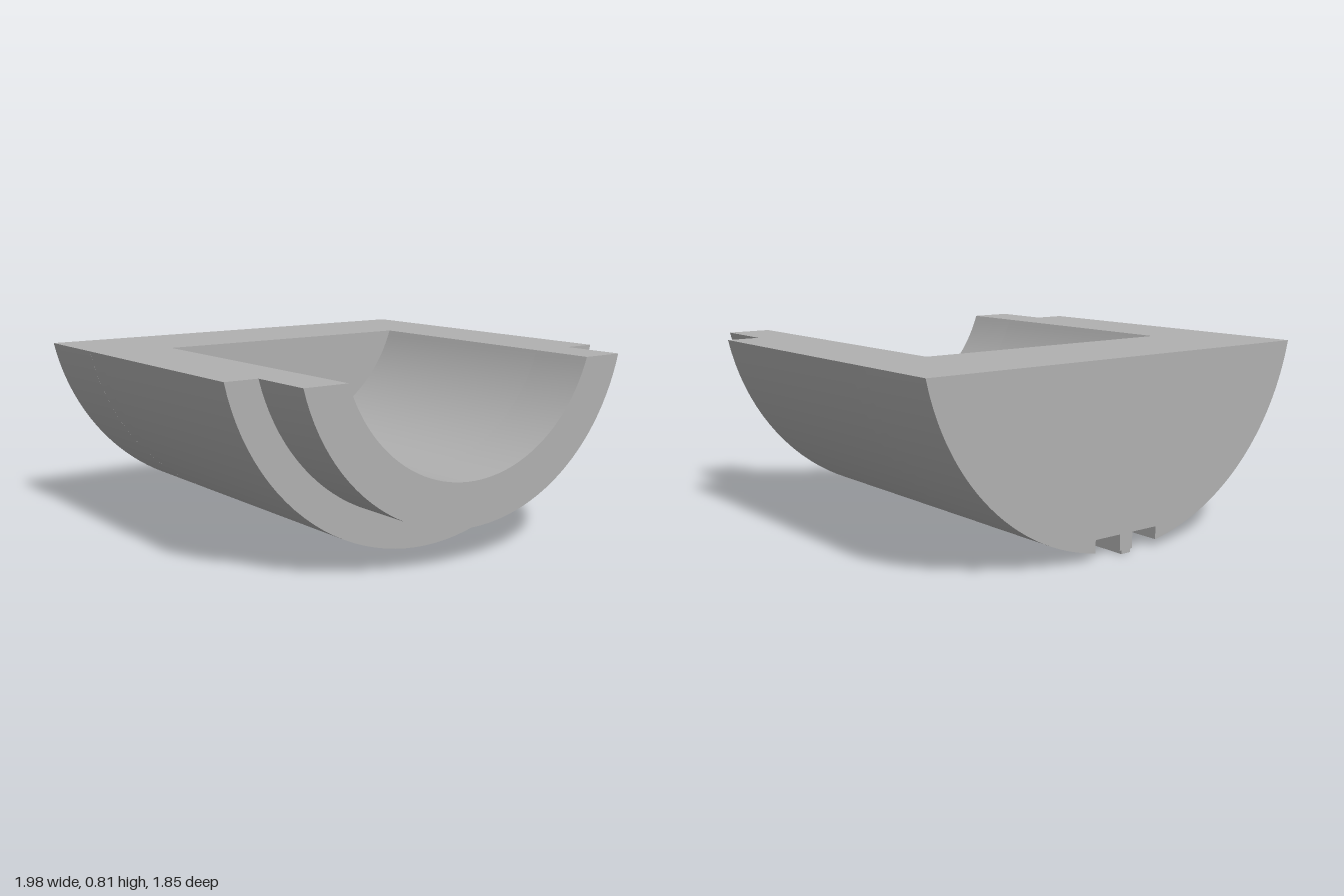
import * as THREE from 'three';
import { toCreasedNormals } from 'three/addons/utils/BufferGeometryUtils.js';

const AXIS_Y = 1.03; // shared axis height of all the arcs
const TOP = 0.81; // flat top face
const OUTER = 1.015, SPIGOT = 0.868, BORE = 0.675;

// Angle at which an arc of radius r meets the flat top, left side
const startAngle = (r) => Math.PI + Math.asin((AXIS_Y - TOP) / r);
// Angle of the point of the outer arc lying at x
const angleAt = (x, r) => 1.5 * Math.PI + Math.asin(x / r);

// Segment of a disc below the top; optional bore radius and underside slots
function profile(r, bore = 0, slots = []) {
  const s = new THREE.Shape();
  let a = startAngle(r);
  s.moveTo(r * Math.cos(a), TOP);
  for (const [x0, x1, roof] of slots) {
    s.absarc(0, AXIS_Y, r, a, angleAt(x0, r), false);
    s.lineTo(x0, roof);
    s.lineTo(x1, roof);
    a = angleAt(x1, r);
  }
  s.absarc(0, AXIS_Y, r, a, 3 * Math.PI - startAngle(r), false);
  if (bore) {
    const b = startAngle(bore);
    s.absarc(0, AXIS_Y, bore, 3 * Math.PI - b, b, true);
  }
  s.closePath();
  return s;
}

export function createModel() {
  const group = new THREE.Group();
  const grey = new THREE.MeshStandardMaterial({ color: 0xb0b0b0 });
  grey.name = 'plain grey';

  function slab(name, shape, z0, z1) {
    const geo = new THREE.ExtrudeGeometry(shape, {
      depth: z1 - z0, bevelEnabled: false, curveSegments: 24,
    });
    geo.translate(0, 0, z0);
    const mesh = new THREE.Mesh(toCreasedNormals(geo, 0.5), grey);
    mesh.name = name;
    group.add(mesh);
  }

  // Closed rear end with two short slots under its back edge
  const slots = [[-0.17, -0.035, 0.085], [0.035, 0.17, 0.085]];
  slab('slottedRearBlock', profile(OUTER, 0, slots), -0.92, -0.52);
  slab('rearWall', profile(OUTER), -0.52, -0.42);
  // Hollow body and the narrower lip at the open front
  slab('hollowBody', profile(OUTER, BORE), -0.42, 0.63);
  slab('frontLip', profile(SPIGOT, BORE), 0.63, 0.925);

  // Thin rib between the slots
  const rib = new THREE.Mesh(new THREE.BoxGeometry(0.05, 0.04, 0.4), grey);
  rib.position.set(0, 0.02, -0.72);
  rib.name = 'slotRib';
  group.add(rib);

  return group;
}
